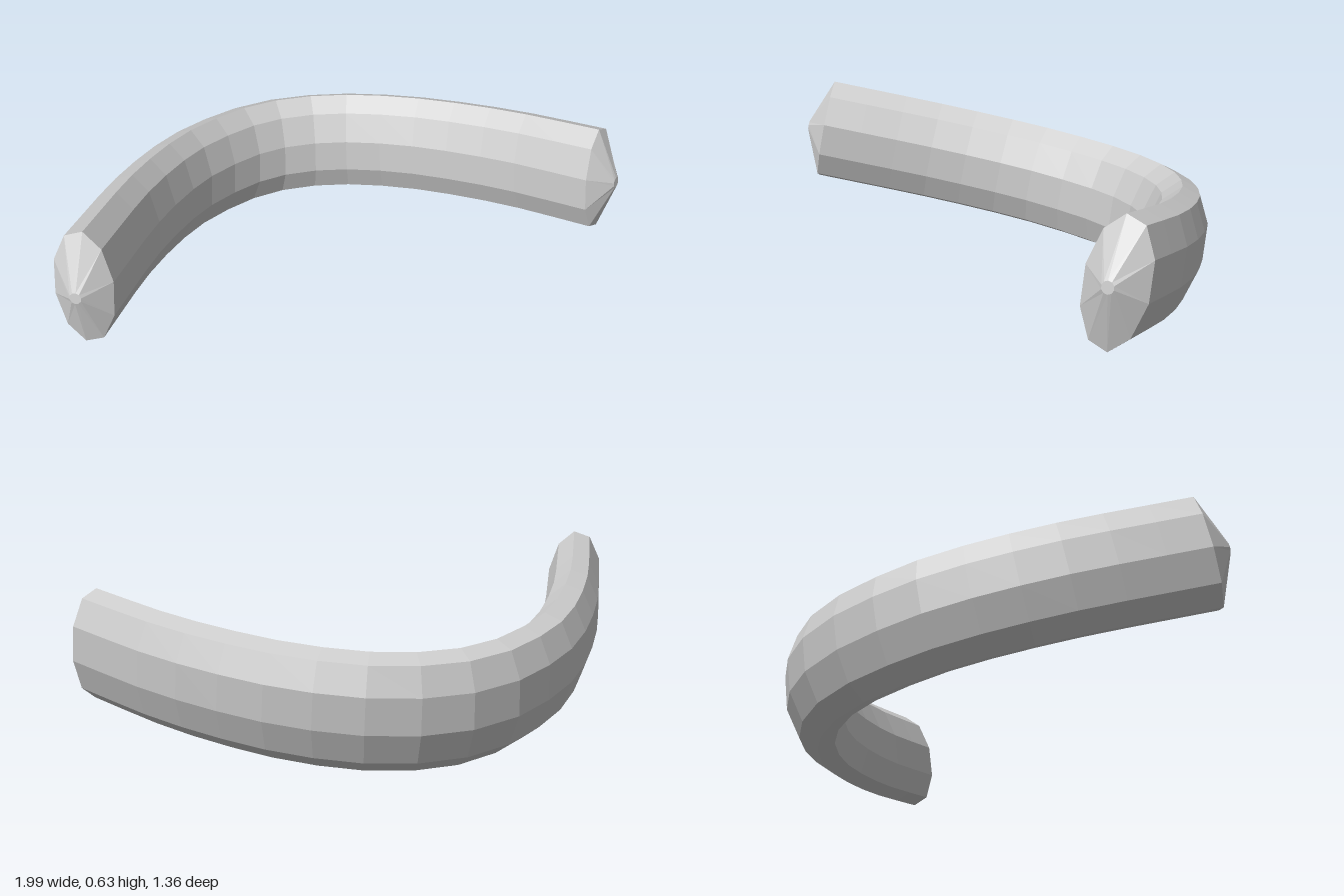
import * as THREE from 'three';

const SIDES = 10, SEGMENTS = 18, PHASE = -10 * Math.PI / 180;
const HALF_WIDTH = 0.105, HALF_HEIGHT = 0.205, TIP_LENGTH = 0.075, TIP_RADIUS = 0.02;

// The bend lies in a slightly tilted plane
const planeY = (x, z) => 0.23 - 0.1225 * (x - 0.08) + 0.178 * (z + 0.575);
const up = new THREE.Vector3(0.1225, 1, -0.178).normalize();

// Centre line seen from above: [x, z]
const path = new THREE.CatmullRomCurve3([
  [-0.925, -0.115], [-0.56, -0.36], [-0.36, -0.465], [-0.17, -0.54], [0.08, -0.575],
  [0.24, -0.56], [0.38, -0.5], [0.5, -0.41], [0.6, -0.29], [0.69, -0.14],
  [0.765, 0.04], [0.835, 0.27], [0.895, 0.605],
].map(([x, z]) => new THREE.Vector3(x, planeY(x, z), z)));

function bentBarGeometry() {
  // Oval sections along the path, with a small round one beyond each end
  const sections = [];
  for (let i = 0; i <= SEGMENTS; i++) {
    const centre = path.getPointAt(i / SEGMENTS), tangent = path.getTangentAt(i / SEGMENTS);
    const oval = { centre, tangent, w: HALF_WIDTH, h: HALF_HEIGHT };
    const tip = (s) => ({
      centre: centre.clone().addScaledVector(tangent, s * TIP_LENGTH),
      tangent, w: TIP_RADIUS, h: TIP_RADIUS,
    });
    if (i === 0) sections.push(tip(-1));
    sections.push(oval);
    if (i === SEGMENTS) sections.push(tip(1));
  }

  const positions = [], index = [];
  for (const { centre, tangent, w, h } of sections) {
    const out = new THREE.Vector3().crossVectors(up, tangent).normalize();
    for (let j = 0; j < SIDES; j++) {
      const a = PHASE + j / SIDES * Math.PI * 2;
      const p = centre.clone().addScaledVector(up, h * Math.cos(a)).addScaledVector(out, w * Math.sin(a));
      positions.push(p.x, p.y, p.z);
    }
  }
  const last = (sections.length - 1) * SIDES;
  const startCentre = last + SIDES, endCentre = startCentre + 1;
  positions.push(...sections[0].centre.toArray(), ...sections.at(-1).centre.toArray());

  for (let j = 0; j < SIDES; j++) {
    const k = (j + 1) % SIDES;
    for (let r = 0; r < last; r += SIDES) {
      const n = r + SIDES;
      index.push(r + j, n + j, r + k, r + k, n + j, n + k);
    }
    // Tiny flats closing the tips
    index.push(startCentre, j, k, endCentre, last + k, last + j);
  }
  const geometry = new THREE.BufferGeometry();
  geometry.setAttribute('position', new THREE.Float32BufferAttribute(positions, 3));
  geometry.setIndex(index);
  geometry.computeVertexNormals();

  // Stand on the ground, centred
  geometry.computeBoundingBox();
  const { min, max } = geometry.boundingBox;
  return geometry.translate(-(min.x + max.x) / 2, -min.y, -(min.z + max.z) / 2);
}

export function createModel() {
  const group = new THREE.Group();
  group.name = 'model';
  const bar = new THREE.Mesh(
    bentBarGeometry(),
    new THREE.MeshStandardMaterial({ color: 0xcccccc, flatShading: true }),
  );
  bar.name = 'bentBar';
  group.add(bar);
  return group;
}
